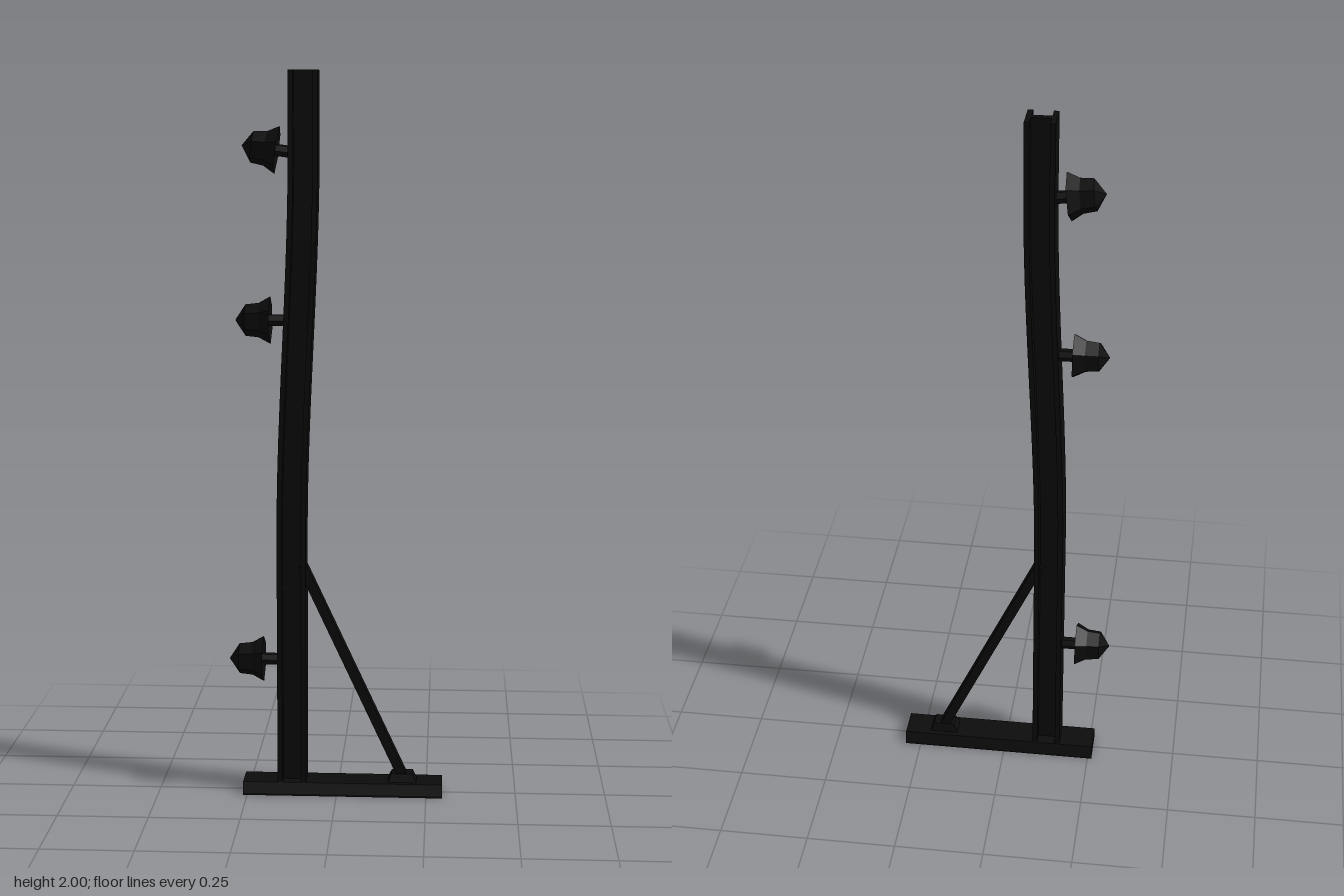
import * as THREE from 'three';

const material = new THREE.MeshStandardMaterial({ color: 0x0c0c0c, flatShading: true });

function add(parent, name, geometry) {
  const mesh = new THREE.Mesh(geometry, material);
  mesh.name = name;
  parent.add(mesh);
  return mesh;
}

// Shape from [x, y] points
const outline = (pts) => new THREE.Shape(pts.map(([x, y]) => new THREE.Vector2(x, y)));

// Centre line of the post: straight, leaning towards +x, straight again
function postX(y) {
  return -0.125 + 0.035 * THREE.MathUtils.smoothstep(y, 0.72, 1.8);
}

// I-section post, extruded upwards and bent along its centre line
function postGeometry() {
  const w = 0.04, d = 0.042, flange = 0.014, web = 0.009;
  const i = w - flange;
  const section = outline([
    [-w, -d], [-i, -d], [-i, -web], [i, -web], [i, -d], [w, -d],
    [w, d], [i, d], [i, web], [-i, web], [-i, d], [-w, d],
  ]);
  const geo = new THREE.ExtrudeGeometry(section, { depth: 1.98, steps: 22, bevelEnabled: false });
  geo.rotateX(-Math.PI / 2).translate(0, 0.02, 0);
  const p = geo.attributes.position;
  for (let k = 0; k < p.count; k++) p.setX(k, p.getX(k) + postX(p.getY(k)));
  geo.computeVertexNormals();
  return geo;
}

// Six-sided insulator on a stem, pointing to -x from the local origin at its rim
function makeInsulator(name, stemLength) {
  const group = new THREE.Group();
  group.name = name;
  const profile = [[0, 0.012], [0.03, 0.012], [0.065, 0], [0.047, 0.032], [0.043, 0.068], [0, 0.096]];
  const cap = new THREE.LatheGeometry(profile.map(([r, y]) => new THREE.Vector2(r, y)), 6, Math.PI / 2);
  add(group, 'insulatorCap', cap.rotateZ(Math.PI / 2));
  const stem = new THREE.CylinderGeometry(0.017, 0.017, stemLength + 0.02, 6);
  stem.rotateZ(Math.PI / 2).translate(stemLength / 2 - 0.01, 0, 0);
  add(group, 'insulatorStem', stem);
  return group;
}

export function createModel() {
  const model = new THREE.Group();
  model.name = 'fencePost';

  // Base rail with sloping long sides
  const rail = new THREE.ExtrudeGeometry(
    outline([[-0.055, 0], [0.055, 0], [0.055, 0.006], [0.043, 0.035], [-0.043, 0.035], [-0.055, 0.006]]),
    { depth: 0.557, bevelEnabled: false });
  add(model, 'baseRail', rail.rotateY(Math.PI / 2).translate(-0.262, 0, 0));

  add(model, 'post', postGeometry());

  // Diagonal brace from the post down to the foot block
  const top = new THREE.Vector2(-0.097, 0.65), foot = new THREE.Vector2(0.19, 0.035);
  const dir = foot.clone().sub(top);
  const brace = add(model, 'brace', new THREE.BoxGeometry(dir.length(), 0.026, 0.036));
  brace.position.set((top.x + foot.x) / 2, (top.y + foot.y) / 2, 0);
  brace.rotation.z = dir.angle();

  // Tapered block holding the foot of the brace
  const block = new THREE.CylinderGeometry(0.7, 1, 1, 4, 1, false, Math.PI / 4);
  block.scale(0.084 / Math.SQRT2, 0.028, 0.06 / Math.SQRT2).translate(0.183, 0.044, 0);
  add(model, 'braceFoot', block);

  // Insulators: rim position, stem length, tilt and roll (the top one sits askew)
  const insulators = [
    ['lowerInsulator', -0.205, 0.38, 0.05, 0, 0],
    ['middleInsulator', -0.182, 1.33, 0.05, 0, 0],
    ['upperInsulator', -0.162, 1.788, 0.045, -0.13, 0.15],
  ];
  for (const [name, x, y, stem, tilt, roll] of insulators) {
    const insulator = makeInsulator(name, stem);
    insulator.position.set(x, y, 0);
    insulator.rotation.set(roll, 0, tilt, 'ZYX');
    model.add(insulator);
  }

  return model;
}
